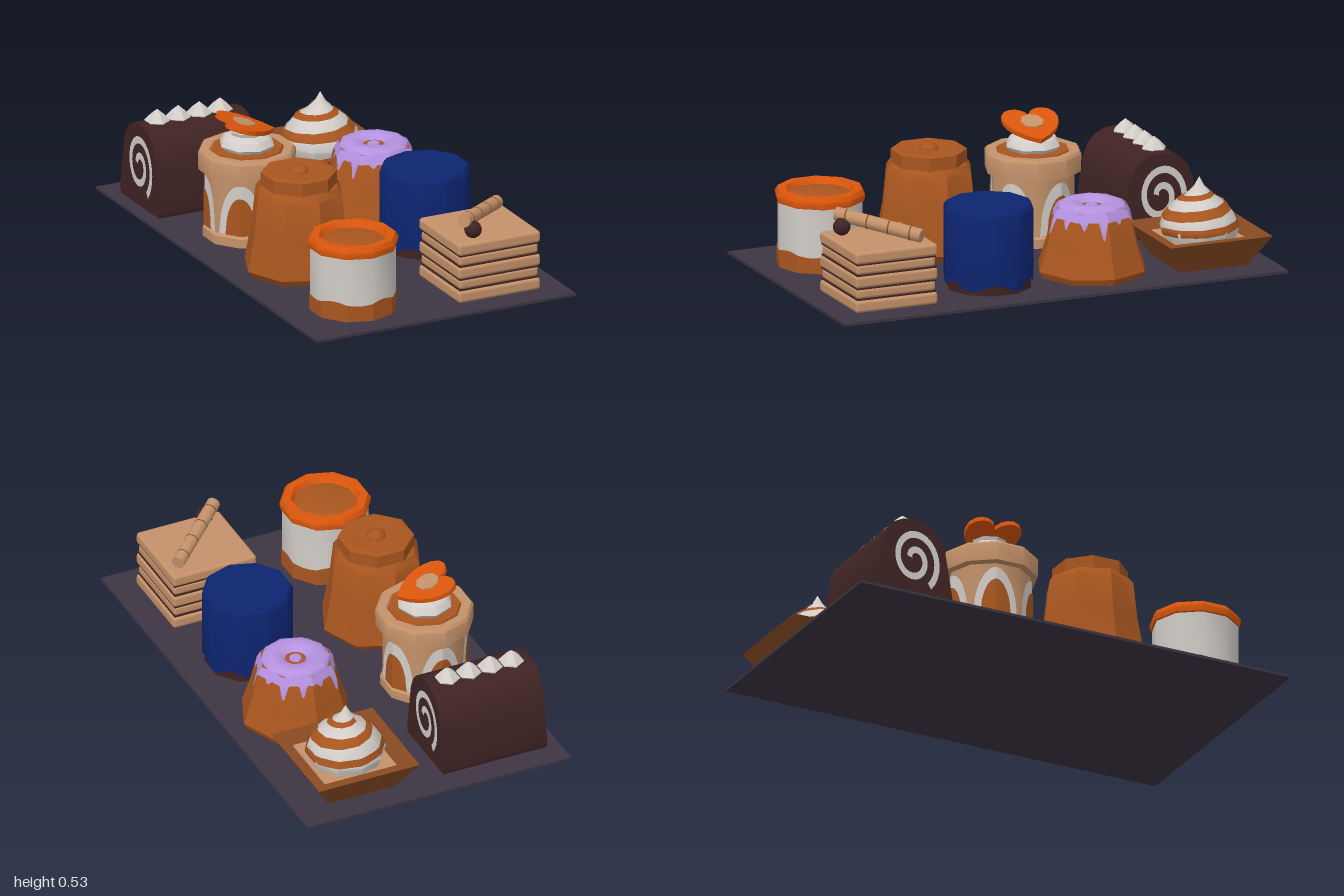
import * as THREE from 'three';
import { toCreasedNormals } from 'three/addons/utils/BufferGeometryUtils.js';
import { RoundedBoxGeometry } from 'three/addons/geometries/RoundedBoxGeometry.js';

const TAU = Math.PI * 2;

function makeMaterials() {
  const colours = {
    slate: 0x3d3543, chocolate: 0x402323, cream: 0xd2cdc8, pastry: 0xc4926a, caramel: 0xa9561f,
    crust: 0x8a4b22, orange: 0xdb560c, lavender: 0xb592e0, blue: 0x0d2470,
  };
  const mats = {};
  for (const [name, color] of Object.entries(colours)) {
    mats[name] = new THREE.MeshStandardMaterial({ color, side: THREE.DoubleSide });
    mats[name].name = name;
  }
  return mats;
}

// Turned form with few sides; profile runs bottom to top as [radius, y]
function turned(profile, sides, turn = 0) {
  const geo = new THREE.LatheGeometry(profile.map(([r, y]) => new THREE.Vector2(r, y)), sides, turn);
  return toCreasedNormals(geo, 0.7);
}

// Surface strip from a rule fn(s, t) -> [x, y, z]
function strip(cols, rows, fn) {
  const pos = [], idx = [];
  for (let j = 0; j <= rows; j++) for (let i = 0; i <= cols; i++) pos.push(...fn(i / cols, j / rows));
  for (let j = 0; j < rows; j++) for (let i = 0; i < cols; i++) {
    const a = j * (cols + 1) + i, c = a + cols + 1;
    idx.push(a, a + 1, c, a + 1, c + 1, c);
  }
  const geo = new THREE.BufferGeometry();
  geo.setAttribute('position', new THREE.Float32BufferAttribute(pos, 3));
  geo.setIndex(idx);
  geo.computeVertexNormals();
  return geo;
}

// Radius factor of a regular polygon at an angle, matching turned()
function polygon(angle, sides) {
  const step = TAU / sides, a = ((angle % step) + step) % step;
  return Math.cos(step / 2) / Math.cos(a - step / 2);
}

// Thin painted band hugging a turned wall between two edge rules
function band(radius, sides, bottom, top, a0 = 0, a1 = TAU, cols = 120, lift = 0.004) {
  return strip(cols, 4, (s, t) => {
    const a = a0 + (a1 - a0) * s;
    const y = bottom(a, s) + (top(a, s) - bottom(a, s)) * t;
    const r = (radius(y) + lift) * polygon(a, sides);
    return [Math.sin(a) * r, y, Math.cos(a) * r];
  });
}

export function createModel() {
  const m = makeMaterials();
  const model = new THREE.Group();
  model.name = 'dessertTray';

  const dessert = (name, x, z) => {
    const g = new THREE.Group();
    g.name = name;
    g.position.set(x, 0, z);
    model.add(g);
    return g;
  };
  const add = (parent, name, geo, mat, x = 0, y = 0, z = 0) => {
    const mesh = new THREE.Mesh(geo, mat);
    mesh.name = name;
    mesh.position.set(x, y, z);
    parent.add(mesh);
    return mesh;
  };

  add(model, 'tray', new THREE.BoxGeometry(1.2, 0.012, 2), m.slate, 0, 0.006, 0);

  // Chocolate roll with cream spirals and piped dots
  const roll = dessert('chocolateRoll', -0.305, -0.72);
  const loaf = new THREE.Shape();
  loaf.moveTo(-0.17, 0.012);
  loaf.lineTo(0.17, 0.012);
  loaf.lineTo(0.18, 0.04);
  loaf.lineTo(0.155, 0.19);
  loaf.bezierCurveTo(0.145, 0.32, 0.09, 0.372, 0, 0.372);
  loaf.bezierCurveTo(-0.09, 0.372, -0.145, 0.32, -0.155, 0.19);
  loaf.lineTo(-0.18, 0.04);
  const loafGeo = new THREE.ExtrudeGeometry(loaf, { depth: 0.47, bevelEnabled: false, curveSegments: 5 });
  loafGeo.translate(0, 0, -0.235).rotateY(Math.PI / 2);
  add(roll, 'sponge', toCreasedNormals(loafGeo, 0.7), m.chocolate);
  for (const side of [-1, 1]) {
    add(roll, 'creamSpiral', strip(48, 1, (s, t) => {
      const a = -0.9 + s * TAU * 1.6, r = 0.125 - 0.1 * s + (t - 0.5) * 0.028;
      return [side * 0.238, 0.19 + Math.sin(a) * r * 1.12, side * -Math.cos(a) * r * 0.9];
    }), m.cream);
  }
  for (let i = 0; i < 4; i++) {
    const dot = turned([[0.04, 0.35], [0.054, 0.372], [0.028, 0.4], [0, 0.422]], 6);
    add(roll, 'creamDot', dot, m.cream, -0.15 + i * 0.097, 0, -0.01);
  }

  // Square tart with swirled meringue
  const tart = dessert('meringueTart', 0.3, -0.73);
  const q = Math.SQRT2;
  add(tart, 'crust', turned([[0, 0.012], [0.15 * q, 0.012], [0.23 * q, 0.145], [0.19 * q, 0.145],
    [0.16 * q, 0.1], [0, 0.1]], 4, Math.PI / 4), m.crust);
  add(tart, 'filling', new THREE.BoxGeometry(0.325, 0.02, 0.325), m.pastry, 0, 0.105, 0);
  const peak = [[0.15, 0.11], [0.168, 0.155], [0.155, 0.2], [0.105, 0.26], [0.055, 0.295], [0.022, 0.33], [0, 0.37]];
  add(tart, 'meringue', turned(peak, 10), m.cream);
  add(tart, 'caramelSwirl', strip(90, 3, (s, t) => {
    const u = Math.min(5.2, 0.5 + s * 3.7 + t * 0.75 * (1 - s * 0.4));
    const k = Math.floor(u), f = u - k, a = s * TAU * 2.6;
    const r = (peak[k][0] + (peak[k + 1][0] - peak[k][0]) * f + 0.004) * polygon(a, 10);
    const y = peak[k][1] + (peak[k + 1][1] - peak[k][1]) * f + 0.003;
    return [Math.sin(a) * r, y, Math.cos(a) * r];
  }), m.caramel);

  // Pastry cup with arches, cream and a tilted heart
  const cup = dessert('heartCup', -0.29, -0.24);
  add(cup, 'cupBody', turned([[0, 0.012], [0.185, 0.012], [0.185, 0.05], [0.175, 0.06], [0.175, 0.3],
    [0.203, 0.305], [0.205, 0.38], [0.195, 0.392], [0.16, 0.392], [0.15, 0.38], [0, 0.38]], 10), m.pastry);
  add(cup, 'caramelTop', turned([[0.155, 0.38], [0.15, 0.394], [0, 0.396]], 10), m.caramel);
  const arch = (base, h) => (a, s) => base + h * Math.sqrt(Math.max(0, 1 - (2 * s - 1) ** 2));
  for (let i = 0; i < 5; i++) {
    const c = (i + 0.5) * TAU / 5;
    const wall = () => 0.175;
    add(cup, 'creamArch', band(wall, 10, () => 0.062, arch(0.062, 0.22), c - 0.56, c + 0.56, 24, 0.003), m.cream);
    add(cup, 'caramelArch', band(wall, 10, () => 0.062, arch(0.062, 0.165), c - 0.38, c + 0.38, 20, 0.007), m.caramel);
  }
  add(cup, 'creamMound', turned([[0.105, 0.39], [0.118, 0.41], [0.1, 0.44], [0.07, 0.455], [0.075, 0.47], [0, 0.49]], 8), m.cream);
  const heart = new THREE.Group();
  heart.name = 'heart';
  heart.position.set(0, 0.478, 0);
  heart.rotation.set(0, -0.12, -0.3);
  cup.add(heart);
  const heartShape = new THREE.Shape();
  heartShape.moveTo(0.12, 0);
  heartShape.bezierCurveTo(0.06, 0.1, -0.02, 0.13, -0.08, 0.115);
  heartShape.bezierCurveTo(-0.14, 0.09, -0.13, 0.02, -0.075, 0);
  heartShape.bezierCurveTo(-0.13, -0.02, -0.14, -0.09, -0.08, -0.115);
  heartShape.bezierCurveTo(-0.02, -0.13, 0.06, -0.1, 0.12, 0);
  const heartGeo = new THREE.ExtrudeGeometry(heartShape, { depth: 0.02, bevelEnabled: false, curveSegments: 5 });
  add(heart, 'heartPlate', heartGeo.rotateX(-Math.PI / 2), m.orange);
  add(heart, 'heartInlay', new THREE.CylinderGeometry(0.05, 0.05, 0.006, 8), m.pastry, -0.02, 0.022, 0);

  // Iced pudding with drips
  const iced = dessert('icedPudding', 0.3, -0.245);
  add(iced, 'pudding', turned([[0, 0.012], [0.22, 0.012], [0.235, 0.04], [0.2, 0.15], [0.172, 0.26],
    [0.15, 0.3], [0, 0.3]], 8), m.caramel);
  const puddingWall = y => y < 0.15 ? 0.2 : y < 0.26 ? 0.2 - (y - 0.15) * 0.2545 : 0.172 - (y - 0.26) * 0.55;
  add(iced, 'icing', turned([[0.148, 0.298], [0.142, 0.31], [0.115, 0.322], [0.075, 0.322], [0.045, 0.302]], 10), m.lavender);
  add(iced, 'icingDrips', band(puddingWall, 8,
    a => 0.268 - Math.max(0, Math.cos(a * 13)) ** 2 * (0.045 + 0.03 * Math.sin(a * 5 + 1)), () => 0.302, 0, TAU, 208), m.lavender);
  add(iced, 'icingCentre', turned([[0.028, 0.3], [0.024, 0.308], [0, 0.309]], 8), m.lavender);

  // Caramel pudding with an eight-sided cap
  const pudding = dessert('caramelPudding', -0.29, 0.23);
  add(pudding, 'puddingBody', turned([[0, 0.012], [0.215, 0.012], [0.235, 0.04], [0.205, 0.2], [0.187, 0.365],
    [0.168, 0.39], [0, 0.39]], 8), m.caramel);
  add(pudding, 'cap', turned([[0.158, 0.388], [0.158, 0.445], [0.145, 0.45], [0.11, 0.445], [0, 0.445]], 8, Math.PI / 8), m.caramel);
  add(pudding, 'capButton', new THREE.SphereGeometry(0.045, 8, 6), m.caramel, 0, 0.44, 0).scale.y = 0.75;

  // Blue glazed cake on a wavy base
  const glazed = dessert('glazedCake', 0.3, 0.22);
  add(glazed, 'cakeBase', turned([[0, 0.012], [0.178, 0.012], [0.182, 0.1]], 10), m.chocolate);
  add(glazed, 'glazeTop', turned([[0.19, 0.07], [0.19, 0.35], [0.178, 0.366], [0, 0.366]], 10), m.blue);
  add(glazed, 'glazeEdge', band(() => 0.19, 10, a => 0.044 + 0.014 * Math.sin(a * 6), () => 0.072, 0, TAU, 120, 0), m.blue);

  // Layered jar with an orange ring lid
  const jar = dessert('creamJar', -0.29, 0.72);
  add(jar, 'creamLayer', turned([[0, 0.012], [0.18, 0.012], [0.18, 0.29]], 10), m.cream);
  add(jar, 'caramelLayer', band(() => 0.18, 10, () => 0.012, a => 0.086 + 0.008 * Math.sin(a * 5), 0, TAU, 120, 0.003), m.caramel);
  add(jar, 'lidRing', turned([[0.17, 0.283], [0.187, 0.288], [0.191, 0.315], [0.178, 0.335], [0.145, 0.335], [0.13, 0.312]], 10), m.orange);
  add(jar, 'lidCentre', turned([[0.137, 0.312], [0.09, 0.322], [0, 0.328]], 10), m.caramel);

  // Square layered slice with wafer and chocolate ball
  const slice = dessert('layeredSlice', 0.3, 0.715);
  for (const y of [0.04, 0.145, 0.247]) {
    add(slice, 'pastrySheet', new RoundedBoxGeometry(0.38, 0.052, 0.37, 2, 0.014), m.pastry, 0, y, 0);
  }
  for (const y of [0.093, 0.196]) {
    add(slice, 'fillingLayer', new RoundedBoxGeometry(0.366, 0.044, 0.356, 2, 0.014), m.pastry, 0, y, 0);
    for (const dy of [-0.023, 0.023]) {
      add(slice, 'chocolateLine', new THREE.BoxGeometry(0.364, 0.007, 0.354), m.chocolate, 0, y + dy, 0);
    }
  }
  const wafer = new THREE.Group();
  wafer.name = 'wafer';
  const from = new THREE.Vector3(-0.14, 0.355, 0.13), to = new THREE.Vector3(0.145, 0.302, -0.13);
  wafer.position.copy(from).lerp(to, 0.5);
  wafer.quaternion.setFromUnitVectors(new THREE.Vector3(0, 1, 0), to.clone().sub(from).normalize());
  slice.add(wafer);
  const length = from.distanceTo(to);
  add(wafer, 'waferRoll', new THREE.CylinderGeometry(0.029, 0.029, length, 10), m.pastry);
  for (let i = 0; i < 4; i++) {
    const ring = new THREE.CylinderGeometry(0.0305, 0.0305, 0.006, 10, 1, true);
    add(wafer, 'waferSeam', ring, m.crust, 0, (i - 1.5) * length * 0.25, 0).rotation.z = 0.12;
  }
  add(slice, 'chocolateBall', new THREE.SphereGeometry(0.037, 10, 8), m.chocolate, -0.095, 0.309, 0.125);

  return model;
}
